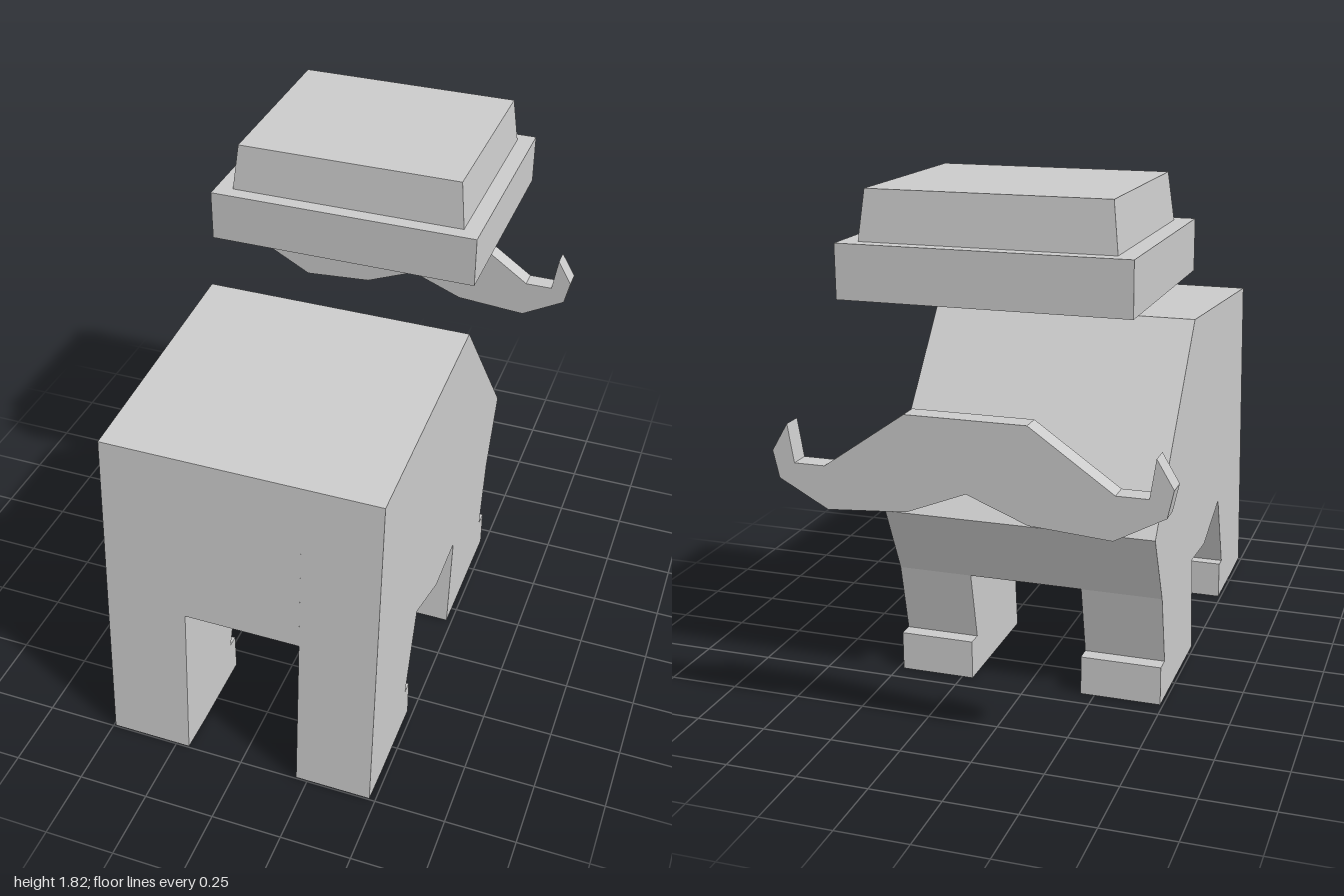
import * as THREE from 'three';

const material = new THREE.MeshStandardMaterial({ color: 0xcccccc, flatShading: true });

function addMesh(parent, name, geometry) {
  const mesh = new THREE.Mesh(geometry, material);
  mesh.name = name;
  parent.add(mesh);
  return mesh;
}

function extrude(points, depth) {
  const shape = new THREE.Shape(points.map(([a, b]) => new THREE.Vector2(a, b)));
  return new THREE.ExtrudeGeometry(shape, { depth, bevelEnabled: false });
}

// Side profile given as [z, y], extruded across x0..x1
function sideSlab(profile, x0, x1) {
  return extrude(profile, x1 - x0).rotateY(-Math.PI / 2).translate(x1, 0, 0);
}

// Box between two corners, with its top face pulled in by taper
function block(x0, x1, y0, y1, z0, z1, taper = 0) {
  const w = x1 - x0, h = y1 - y0, d = z1 - z0;
  const geometry = new THREE.BoxGeometry(w, h, d);
  const p = geometry.attributes.position;
  for (let i = 0; i < p.count; i++) {
    if (p.getY(i) > 0) {
      p.setX(i, p.getX(i) - Math.sign(p.getX(i)) * taper);
      p.setZ(i, p.getZ(i) - Math.sign(p.getZ(i)) * taper);
    }
  }
  geometry.translate((x0 + x1) / 2, (y0 + y1) / 2, (z0 + z1) / 2);
  geometry.computeVertexNormals();
  return geometry;
}

export function createModel() {
  const model = new THREE.Group();
  model.name = 'model';

  // Body: back outline shared by the middle and the two legged sides
  const back = [[0.895, 1.225], [-0.015, 1.29], [-0.545, 0.655], [-0.43, 0.4]];
  const body = new THREE.Group();
  body.name = 'body';
  model.add(body);
  addMesh(body, 'torsoMiddle', sideSlab([[0.949, 0.6], ...back, [0.25, 0.35]], -0.2, 0.21));

  const legged = [
    [1, 0.006], ...back,
    [-0.375, 0.142], [-0.43, 0.142], [-0.43, 0], [0.07, 0], [0.035, 0.366], // back leg
    [0.25, 0.35], [0.5, 0.439],                                            // belly
    [0.61, 0.142], [0.568, 0.142], [0.568, 0], [0.87, 0],                  // front leg
  ];
  addMesh(body, 'rightSideWithLegs', sideSlab(legged, -0.49, -0.2));
  addMesh(body, 'leftSideWithLegs', sideSlab(legged, 0.21, 0.48));

  // Floating hat
  const hat = new THREE.Group();
  hat.name = 'hat';
  model.add(hat);
  addMesh(hat, 'hatBrim', block(-0.487, 0.48, 1.47, 1.65, -0.857, -0.04));
  addMesh(hat, 'hatCrown', block(-0.425, 0.42, 1.65, 1.815, -0.81, -0.092, 0.019));

  // Floating moustache: half outline from bottom centre to top, then mirrored
  const half = [
    [0.2, 0.84], [0.47, 0.82], [0.635, 0.91], [0.655, 1.0], [0.6, 1.093],
    [0.58, 0.965], [0.476, 0.965], [0.2, 1.158],
  ];
  const mirrored = half.map(([x, y]) => [-x, y]).reverse();
  addMesh(model, 'moustache', extrude([[0, 0.92], ...half, ...mirrored], 0.07).translate(0, 0, -1));

  return model;
}
